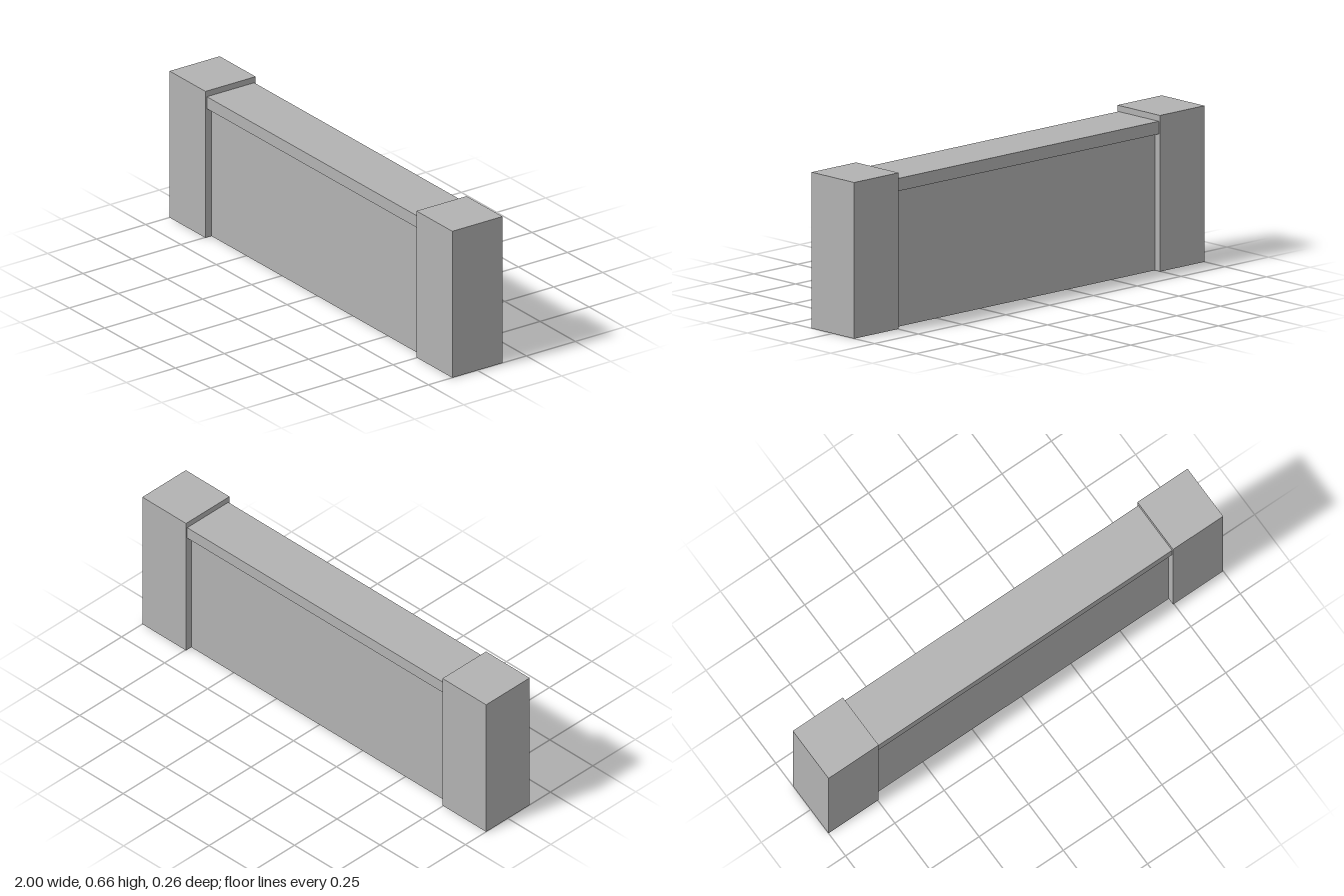
import * as THREE from 'three';

export function createModel() {
  const model = new THREE.Group();
  model.name = 'lowWall';
  const stone = new THREE.MeshStandardMaterial({ color: 0xb2b2b2 });
  stone.name = 'grey stone';

  // Box spanning y0..y1, centred on z
  const addBlock = (name, width, y0, y1, depth, x = 0) => {
    const mesh = new THREE.Mesh(new THREE.BoxGeometry(width, y1 - y0, depth), stone);
    mesh.name = name;
    mesh.position.set(x, (y0 + y1) / 2, 0);
    model.add(mesh);
  };

  const inner = 0.746; // inner face of the end pillars
  const height = 0.664;

  // End pillars
  for (const [name, side] of [['leftPillar', 1], ['rightPillar', -1]]) {
    addBlock(name, 1 - inner, 0, height, 0.256, side * (1 + inner) / 2);
  }

  // Recessed wall panel and the coping that overhangs it
  addBlock('wallPanel', inner * 2, 0, 0.584, 0.194);
  addBlock('coping', inner * 2, 0.584, 0.638, 0.242);

  return model;
}
